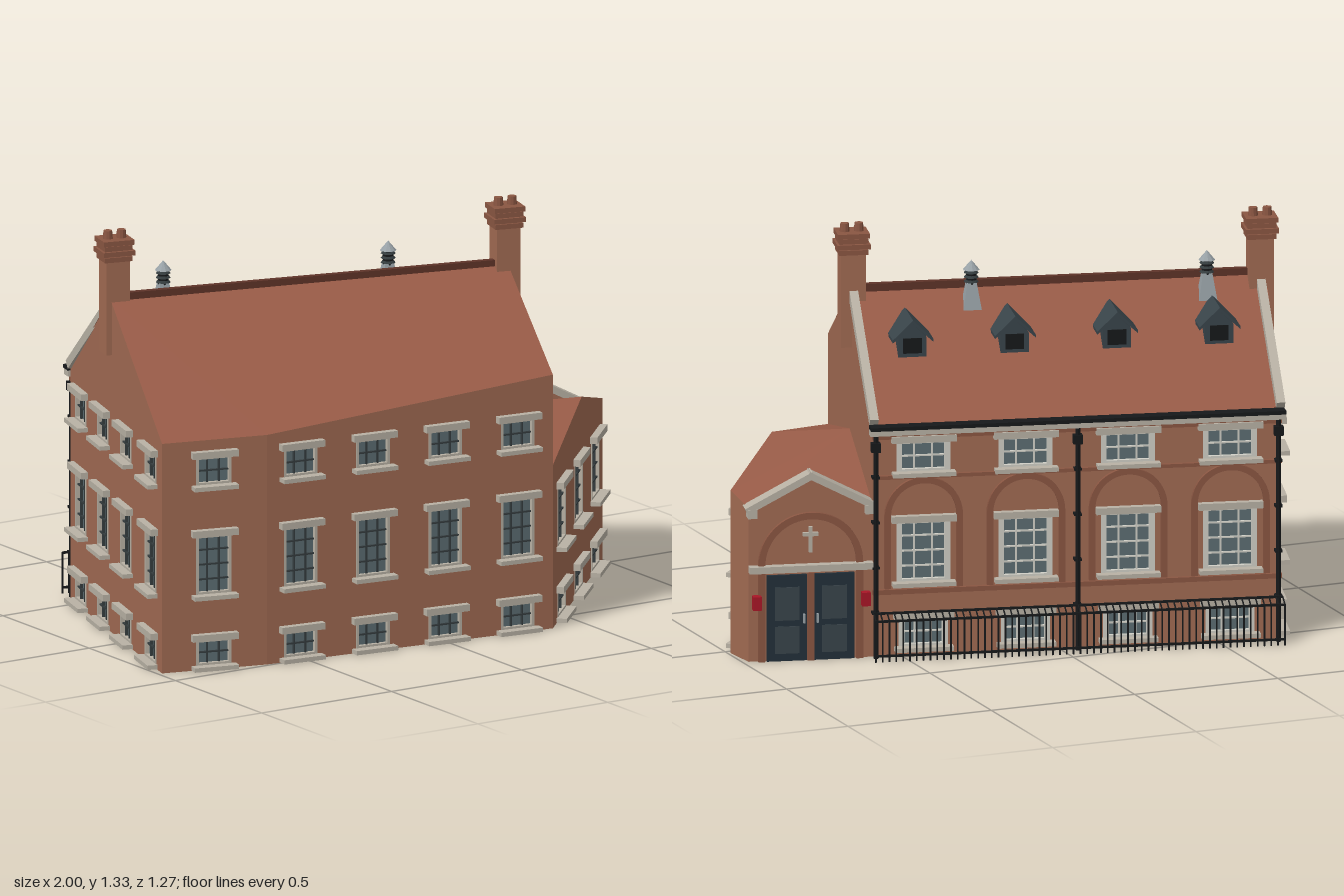
import * as THREE from 'three';
import { mergeGeometries } from 'three/addons/utils/BufferGeometryUtils.js';

const mat = (color, side = THREE.FrontSide) => new THREE.MeshStandardMaterial({ color, side, flatShading: true });
const M = {
  brick: mat(0xa06a52, THREE.DoubleSide), trim: mat(0x8a5642), roof: mat(0x985b47, THREE.DoubleSide),
  ridge: mat(0x5e3328), stone: mat(0xb8b1a4), glass: mat(0x5c6d72, THREE.DoubleSide), bar: mat(0x343c3e),
  white: mat(0xd0cfc6), iron: mat(0x16181a), door: mat(0x22303a), slate: mat(0x39444a),
  metal: mat(0x98a1a6), red: mat(0xa81626),
};

// Main footprint corners in plan [x, z]
const A = [-0.70, -0.56], B = [0.59, -0.24], C = [-0.985, 0.40], K = [-0.64, 0.49], D = [0.38, 0.61];
const E = [0.98, -0.143], F = [0.99, -0.02], L = [-0.827, -0.14], R = [0.484, 0.19], P = [0.73, 0.25];
const dist = (p, q) => Math.hypot(q[0] - p[0], q[1] - p[1]);

function add(parent, name, geo, material) {
  const m = new THREE.Mesh(geo, material);
  m.name = name;
  parent.add(m);
  return m;
}
const boxGeo = (w, h, d, x, y, z) => new THREE.BoxGeometry(w, h, d).translate(x, y, z);
const box = (parent, name, material, ...dims) => add(parent, name, boxGeo(...dims), material);

// Group whose x runs along the wall from p to q and whose z points outward
function wallFrame(name, p, q) {
  const g = new THREE.Group();
  g.name = name;
  g.position.set(p[0], 0, p[1]);
  g.rotation.y = Math.atan2(p[1] - q[1], q[0] - p[0]);
  return g;
}

function addWindow(g, { x, y0, y1, w, back }) {
  const win = new THREE.Group(), h = y1 - y0, cy = (y0 + y1) / 2, bars = [], frame = [];
  win.name = 'window';
  add(win, 'glass', new THREE.PlaneGeometry(w, h).translate(x, cy, -0.012), M.glass);
  const rows = h > 0.15 ? 4 : 2, t = back ? 0.018 : 0.009;
  for (const s of [-1, 1]) {
    frame.push(boxGeo(t, h, 0.02, x + s * (w - t) / 2, cy, -0.008));
    frame.push(boxGeo(w, 0.008, 0.02, x, cy + s * (h / 2 - 0.004), -0.008));
    bars.push(boxGeo(0.005, h, 0.008, x + s * w / 6, cy, -0.008));
  }
  for (let i = 1; i < rows; i++) bars.push(boxGeo(w, 0.005, 0.008, x, y0 + h * i / rows, -0.008));
  add(win, 'windowFrame', mergeGeometries(frame), back ? M.white : M.stone);
  add(win, 'glazingBars', mergeGeometries(bars), back ? M.white : M.bar);
  box(win, 'lintel', M.stone, w + 0.035, 0.022, 0.03, x, y1 + 0.01, 0.009);
  box(win, 'sill', M.stone, w + 0.03, 0.014, 0.04, x, y0 - 0.006, 0.014);
  g.add(win);
}

// Brick wall with window holes; top is a list of [along, y]
function wall(parent, name, p, q, top, wins = [], base = 0) {
  const g = wallFrame(name, p, q), len = dist(p, q);
  const pts = [[0, base], [len, base], ...[...top].reverse()].map(v => new THREE.Vector2(...v));
  const shape = new THREE.Shape(pts);
  for (const { x, y0, y1, w } of wins) {
    shape.holes.push(new THREE.Path([[x - w / 2, y0], [x - w / 2, y1], [x + w / 2, y1], [x + w / 2, y0]]
      .map(v => new THREE.Vector2(...v))));
  }
  add(g, 'brickwork', new THREE.ShapeGeometry(shape), M.brick);
  wins.forEach(o => addWindow(g, o));
  parent.add(g);
  return g;
}

// Fan-filled roof plane from [plan point, y] pairs
function roofPlane(parent, name, pts) {
  const pos = [];
  for (let i = 1; i < pts.length - 1; i++)
    for (const [p, y] of [pts[0], pts[i], pts[i + 1]]) pos.push(p[0], y, p[1]);
  const geo = new THREE.BufferGeometry();
  geo.setAttribute('position', new THREE.Float32BufferAttribute(pos, 3));
  geo.computeVertexNormals();
  add(parent, name, geo, M.roof);
}

// Raised brick band: two legs and a half-round head
function archBand(parent, x, y0, spring, ri, ro) {
  const s = new THREE.Shape();
  s.moveTo(ro, y0).lineTo(ro, spring).absarc(0, spring, ro, 0, Math.PI, false).lineTo(-ro, y0);
  s.lineTo(-ri, y0).lineTo(-ri, spring).absarc(0, spring, ri, Math.PI, 0, true).lineTo(ri, y0);
  const geo = new THREE.ExtrudeGeometry(s, { depth: 0.014, bevelEnabled: false, curveSegments: 16 });
  add(parent, 'brickArch', geo.translate(x, 0, 0), M.trim);
}

function prism(pts, depth, x, z) {
  const s = new THREE.Shape(pts.map(v => new THREE.Vector2(...v)));
  return new THREE.ExtrudeGeometry(s, { depth, bevelEnabled: false }).translate(x, 0, z);
}

function chimney(parent, x, z) {
  const g = new THREE.Group();
  g.name = 'chimney';
  g.position.set(x, 0, z);
  box(g, 'stack', M.brick, 0.08, 0.36, 0.072, 0, 1.10, 0);
  [[0.094, 1.235], [0.108, 1.255], [0.094, 1.272], [0.104, 1.29]].forEach(([w, y]) =>
    box(g, 'corbel', M.trim, w, 0.016, w - 0.01, 0, y, 0));
  for (const s of [-1, 1])
    add(g, 'chimneyPot', new THREE.CylinderGeometry(0.014, 0.018, 0.05, 10).translate(s * 0.023, 1.30, 0), M.trim);
  parent.add(g);
}

function dormer(parent, x) {
  const g = new THREE.Group();
  g.name = 'dormer';
  add(g, 'cheeks', prism([[-0.046, 0.92], [0.046, 0.92], [0.046, 0.995], [0, 1.04], [-0.046, 0.995]], 0.12, x, -0.335), M.slate);
  add(g, 'dormerRoof', prism([[-0.066, 0.982], [0, 1.042], [0.066, 0.982], [0.066, 0.992], [0, 1.055], [-0.066, 0.992]], 0.165, x, -0.365), M.slate);
  box(g, 'dormerWindow', M.iron, 0.06, 0.05, 0.004, x, 0.968, -0.214);
  parent.add(g);
}

function ventilator(parent, x, z) {
  const g = new THREE.Group();
  g.name = 'roofVentilator';
  g.position.set(x, 0, z);
  add(g, 'base', new THREE.CylinderGeometry(0.022, 0.045, 0.10, 4, 1).rotateY(Math.PI / 4).translate(0, 1.075, 0), M.metal);
  add(g, 'drum', new THREE.CylinderGeometry(0.017, 0.017, 0.05, 10).translate(0, 1.145, 0), M.iron);
  for (let i = 0; i < 3; i++)
    add(g, 'louvre', new THREE.CylinderGeometry(0.019, 0.024, 0.007, 10).translate(0, 1.13 + i * 0.015, 0), M.bar);
  add(g, 'cap', new THREE.ConeGeometry(0.027, 0.032, 10).translate(0, 1.183, 0), M.metal);
  parent.add(g);
}

export function createModel() {
  const model = new THREE.Group();
  model.name = 'brickBuilding';
  const rows = [[0.015, 0.1], [0.25, 0.445], [0.612, 0.705]];
  const grid = (xs, n, w) => xs.flatMap(x => rows.slice(0, n).map(([y0, y1]) => ({ x, y0, y1, w })));

  // Front, left and wing walls
  const ck = dist(C, K), kd = dist(K, D), ac = dist(A, C), df = dist(D, F), db = dist(D, B), ab = dist(A, B), be = dist(B, E);
  wall(model, 'frontLeftWall', C, K, [[0, 0.76], [ck, 0.76]], grid([0.175], 3, 0.12));
  wall(model, 'frontWall', K, D, [[0, 0.76], [kd, 0.84]], grid([0.12, 0.38, 0.64, 0.9], 3, 0.12));
  wall(model, 'leftWall', A, C, [[0, 0.765], [dist(A, L), 1.105], [ac, 0.76]], grid([0.115, 0.355, 0.606, 0.878], 3, 0.12));
  wall(model, 'wingSideWall', D, F, [[0, 0.54], [dist(D, P), 0.64], [df, 0.54]], grid([0.15, 0.448, 0.745], 2, 0.14));
  wall(model, 'wingEndWall', F, E, [[0, 0.54], [dist(F, E), 0.51]]);
  wall(model, 'rightGableWall', D, B, [[0, 0.84], [dist(D, R), 1.105], [db, 0.765]], [], 0.45);

  // Roof planes
  roofPlane(model, 'frontRoof', [[L, 1.105], [C, 0.76], [K, 0.76], [D, 0.84], [R, 1.105]]);
  roofPlane(model, 'backRoof', [[L, 1.105], [R, 1.105], [B, 0.765], [A, 0.765]]);
  roofPlane(model, 'wingFrontRoof', [[R, 0.64], [D, 0.54], [P, 0.64]]);
  roofPlane(model, 'wingBackRoof', [[R, 0.64], [P, 0.64], [F, 0.54], [E, 0.51], [B, 0.51]]);

  // Back wall: four arched bays
  const bays = [0, 1, 2, 3].map(i => (i + 0.5) * ab / 4);
  const backWins = bays.flatMap(x => [
    { x, y0: 0.03, y1: 0.125, w: 0.16, back: true },
    { x, y0: 0.245, y1: 0.445, w: 0.175, back: true },
    { x, y0: 0.61, y1: 0.71, w: 0.175, back: true }]);
  const back = wall(model, 'backWall', B, A, [[0, 0.765], [ab, 0.765]], backWins);
  for (const x of bays) {
    archBand(back, x, 0.225, 0.465, 0.107, 0.127);
    dormer(back, x);
  }
  [[0.215, 0.016], [0.595, 0.012], [0.728, 0.012]].forEach(([y, h]) =>
    box(back, 'stringCourse', M.trim, ab, h, 0.016, ab / 2, y, 0.008));
  box(back, 'cornice', M.stone, ab + 0.02, 0.018, 0.035, ab / 2, 0.747, 0.015);
  box(back, 'gutter', M.iron, ab + 0.02, 0.012, 0.045, ab / 2, 0.763, 0.02);
  for (const x of [0.008, ab / 2, ab - 0.012]) {
    add(back, 'drainpipe', new THREE.CylinderGeometry(0.008, 0.008, 0.75, 8).translate(x, 0.375, 0.024), M.iron);
    box(back, 'hopperHead', M.iron, 0.03, 0.03, 0.026, x, 0.70, 0.022);
    for (const y of [0.15, 0.3, 0.45, 0.6]) box(back, 'pipeBracket', M.iron, 0.024, 0.008, 0.028, x, y, 0.016);
  }

  // Ridge, gable copings, chimneys and ventilators
  box(back, 'ridgeTiles', M.ridge, ab - 0.02, 0.025, 0.022, ab / 2, 1.108, -0.44);
  for (const x of [0.006, ab - 0.002]) {
    const coping = box(back, 'gableCoping', M.stone, 0.028, 0.03, 0.55, 0, 0, 0);
    coping.position.set(x, 0.945, -0.215);
    coping.rotation.x = Math.atan(0.34 / 0.44);
  }
  chimney(back, 0.005, -0.437);
  chimney(back, ab, -0.42);
  ventilator(back, 0.385, -0.385);
  ventilator(back, 1.15, -0.382);

  // Railings with prongs bent toward the wall
  const rail = [];
  for (let i = 0; i <= 60; i++) {
    const x = i * ab / 60;
    rail.push(boxGeo(0.005, 0.137, 0.005, x, 0.0685, 0.075));
    rail.push(new THREE.BoxGeometry(0.004, 0.004, 0.048).rotateX(0.31).translate(x, 0.143, 0.053));
  }
  for (const [y, z] of [[0.02, 0.075], [0.135, 0.075], [0.15, 0.031]]) rail.push(boxGeo(ab, 0.007, 0.007, ab / 2, y, z));
  add(back, 'railings', mergeGeometries(rail), M.iron);

  // Entrance wing: gabled parapet, arch and double doors
  const porch = wallFrame('entrancePorch', E, B), cx = be / 2;
  add(porch, 'porchGable', prism([[0, 0], [be, 0], [be, 0.5], [cx, 0.605], [0, 0.5]], 0.03, 0, -0.03), M.brick);
  for (const s of [-1, 1]) {
    const slope = Math.atan2(0.105, cx);
    const c = box(porch, 'porchCoping', M.stone, Math.hypot(cx, 0.105) + 0.02, 0.022, 0.055, 0, 0, 0);
    c.position.set(cx + s * cx / 2, 0.56, -0.005);
    c.rotation.z = -s * slope;
    box(porch, 'door', M.door, 0.13, 0.285, 0.014, cx + s * 0.077, 0.1425, 0.003);
    for (const [y, h] of [[0.07, 0.09], [0.19, 0.11]])
      box(porch, 'doorPanel', M.slate, 0.08, h, 0.006, cx + s * 0.077, y, 0.01);
    box(porch, 'doorHandle', M.metal, 0.006, 0.03, 0.01, cx + s * 0.022, 0.14, 0.014);
    box(porch, 'redBox', M.red, 0.028, 0.045, 0.028, cx + s * 0.177, 0.2, 0.022);
    box(porch, 'kneeler', M.stone, 0.03, 0.03, 0.055, cx + s * (cx - 0.01), 0.495, -0.002);
  }
  box(porch, 'doorPost', M.trim, 0.022, 0.29, 0.02, cx, 0.145, 0.006);
  box(porch, 'doorLintel', M.stone, be, 0.022, 0.035, cx, 0.308, 0.012);
  archBand(porch, cx, 0.0, 0.32, 0.148, 0.17);
  box(porch, 'crossUpright', M.stone, 0.012, 0.085, 0.012, cx, 0.4, 0.006);
  box(porch, 'crossArm', M.stone, 0.05, 0.012, 0.012, cx, 0.417, 0.006);
  model.add(porch);
  return model;
}
